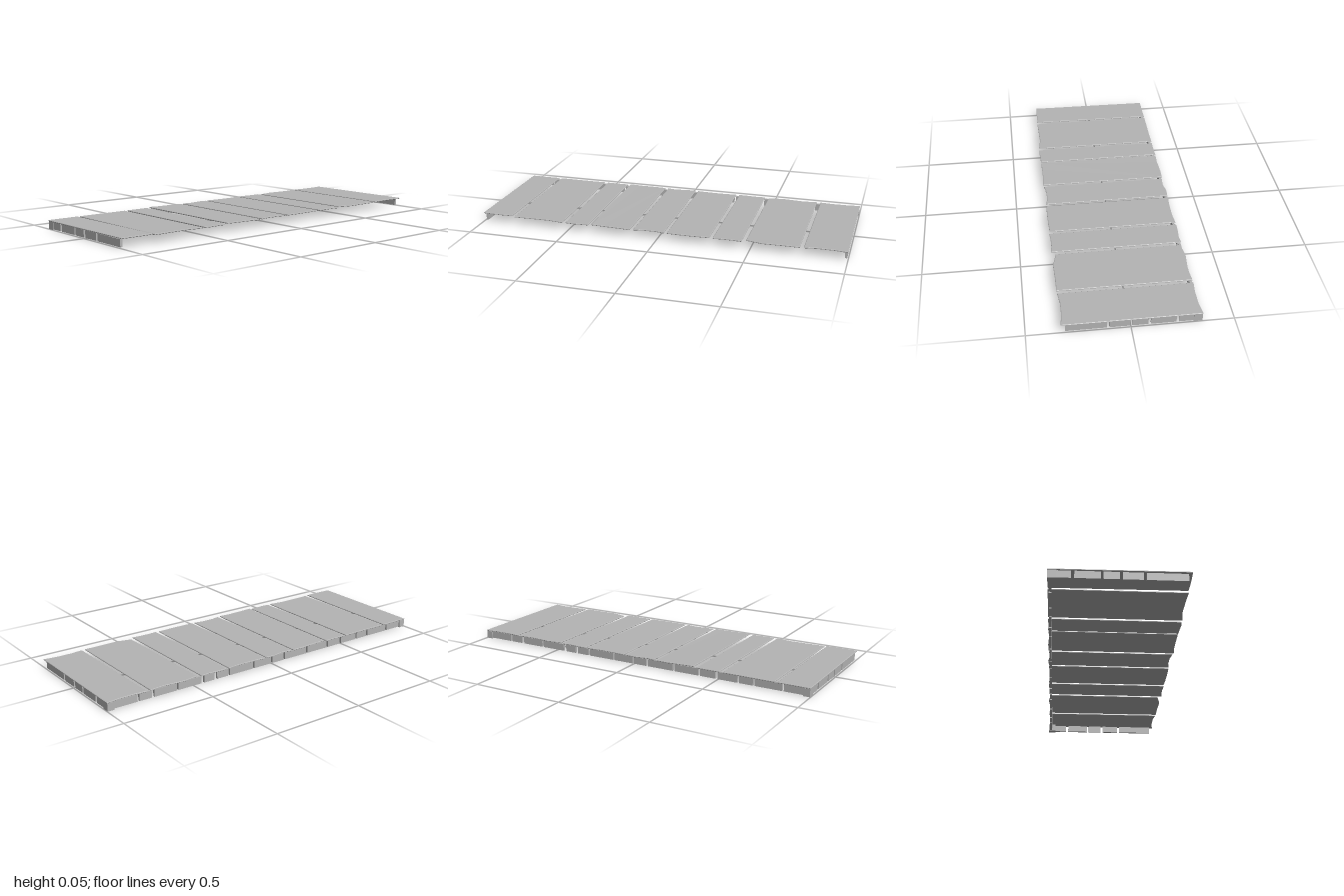
import * as THREE from 'three';

export function createModel() {
  const root = new THREE.Group();
  root.name = 'plankWalkway';
  const wood = new THREE.MeshStandardMaterial({ color: 0xb4b4b4 });
  wood.name = 'weathered grey';

  // Deck planks: back z, front z, ragged left ends (-x), ragged right ends (+x),
  // then lift of the +x end and lift of the front edge
  const planks = [
    [-1, -0.777, [-0.347, -0.338, -0.337, -0.343], [0.334, 0.325, 0.324, 0.333], 0, 0],
    [-0.757, -0.478, [-0.342, -0.335, -0.345, -0.332], [0.335, 0.334, 0.337, 0.317], 0, 0],
    [-0.457, -0.305, [-0.342, -0.338, -0.343, -0.343], [0.339, 0.334, 0.334, 0.338], 0, 0],
    [-0.286, -0.057, [-0.343, -0.337, -0.338, -0.343], [0.334, 0.337, 0.338, 0.336], 0, 0],
    [-0.04, 0.128, [-0.342, -0.346, -0.333, -0.342], [0.336, 0.327, 0.328, 0.337], 0, 0],
    [0.146, 0.365, [-0.343, -0.345, -0.34, -0.342], [0.342, 0.337, 0.337, 0.338], 0, 0.004],
    [0.383, 0.511, [-0.344, -0.343, -0.343, -0.344], [0.338, 0.339, 0.342, 0.339], 0, 0],
    [0.53, 0.813, [-0.344, -0.343, -0.344, -0.344], [0.342, 0.33, 0.332, 0.335], 0, 0],
    [0.828, 1, [-0.345, -0.344, -0.344, -0.345], [0.331, 0.333, 0.332, 0.33], 0.004, 0],
  ];
  const deck = new THREE.Group();
  deck.name = 'deck';
  root.add(deck);
  planks.forEach(([z0, z1, left, right, liftX, liftZ]) => {
    const zAt = (i) => z0 + (z1 - z0) * [0, 0.3, 0.7, 1][i];
    const outline = [
      ...left.map((x, i) => new THREE.Vector2(x, -zAt(i))),
      ...right.map((x, i) => new THREE.Vector2(x, -zAt(i))).reverse(),
    ];
    const geo = new THREE.ExtrudeGeometry(new THREE.Shape(outline), {
      depth: 0.003, bevelThickness: 0.002, bevelSize: 0.003, bevelOffset: -0.003, bevelSegments: 1,
    });
    geo.rotateX(-Math.PI / 2).translate(0, 0.043, 0);
    // Slight warp of the loose planks
    const p = geo.attributes.position;
    for (let i = 0; i < p.count; i++) {
      const u = (p.getX(i) + 0.345) / 0.69;
      const v = (p.getZ(i) - z0) / (z1 - z0);
      p.setY(i, p.getY(i) + liftX * u + liftZ * v * v);
    }
    geo.computeVertexNormals();
    const mesh = new THREE.Mesh(geo, wood);
    mesh.name = 'plank';
    deck.add(mesh);
  });

  // Box given by its limits on each axis
  const block = (name, x0, x1, y0, y1, z0, z1) => {
    const mesh = new THREE.Mesh(new THREE.BoxGeometry(x1 - x0, y1 - y0, z1 - z0), wood);
    mesh.position.set((x0 + x1) / 2, (y0 + y1) / 2, (z0 + z1) / 2);
    mesh.name = name;
    root.add(mesh);
  };

  // Skirt boards and corner posts at both ends
  const endBoards = [[-0.303, -0.235], [-0.22, -0.097], [-0.085, -0.009], [0.005, 0.102], [0.115, 0.312]];
  for (const s of [1, -1]) {
    const za = Math.min(s * 0.982, s * 0.994), zb = Math.max(s * 0.982, s * 0.994);
    endBoards.forEach(([a, b]) => block('endSkirtBoard', a, b, 0.003, 0.0415, za, zb));
    const pa = Math.min(s * 0.962, s * 0.998), pb = Math.max(s * 0.962, s * 0.998);
    block('cornerPost', -0.345, -0.303, 0, 0.0415, pa, pb);
  }

  // Skirt boards along the -x side
  const sideBoards = [
    [0.86, 0.962], [0.705, 0.85], [0.62, 0.695], [0.5, 0.61], [0.4, 0.487], [0.25, 0.39],
    [0.09, 0.24], [0.005, 0.08], [-0.118, -0.005], [-0.278, -0.128], [-0.358, -0.289],
    [-0.438, -0.374], [-0.594, -0.455], [-0.733, -0.604], [-0.818, -0.749], [-0.962, -0.829],
  ];
  sideBoards.forEach(([a, b]) => block('sideSkirtBoard', -0.338, -0.325, 0.003, 0.0415, a, b));

  return root;
}
